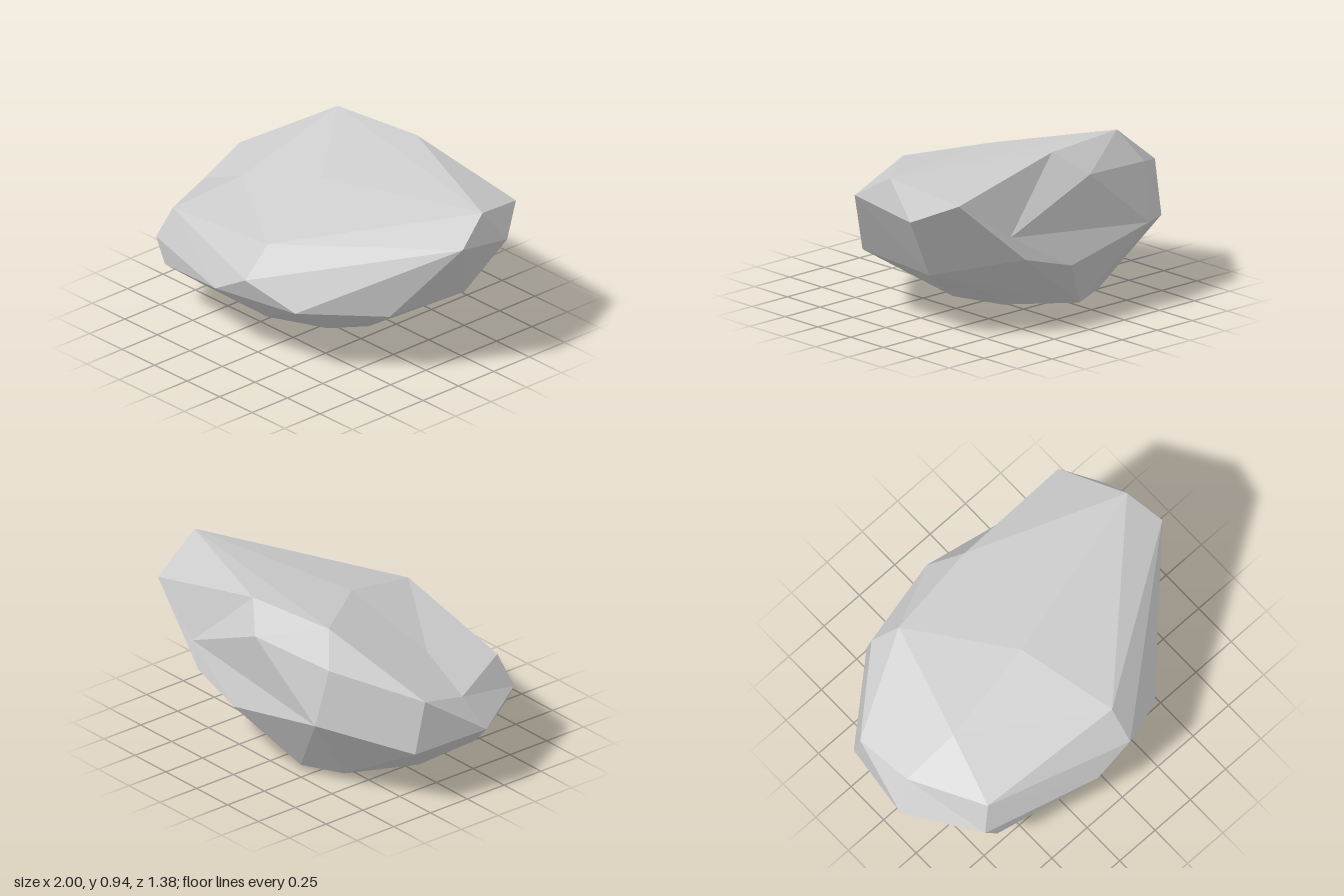
import * as THREE from 'three';
import { ConvexGeometry } from 'three/addons/geometries/ConvexGeometry.js';

const V = (p) => new THREE.Vector3(...p);

// corners of the top facets
const crown = [
  [-0.45, 0.935, -0.48], [0.08, 0.937, -0.55], [0.935, 0.905, -0.23], [-0.04, 0.84, 0.02],
  [0.12, 0.685, 0.54], [-0.69, 0.575, 0.465], [-0.945, 0.62, -0.24], [-0.56, 0.76, -0.57],
  [-0.08, 0.81, -0.67], [0.79, 0.8, -0.6],
];
// corners around the widest part
const girdle = [
  [-1, 0.365, 0.13], [-0.76, 0.4, 0.52], [-0.68, 0.27, 0.53], [-0.12, 0.39, 0.69],
  [0.11, 0.52, 0.69], [0.38, 0.39, 0.585], [0.71, 0.37, 0.22], [1, 0.78, -0.03],
  [0.945, 0.7, -0.395], [0.72, 0.345, -0.3], [0.38, 0.44, -0.67], [0.07, 0.35, -0.69],
  [-0.53, 0.45, -0.64], [-0.935, 0.33, -0.3],
];
// corners of the underside
const base = [
  [-0.68, 0.115, 0.33], [-0.05, 0.15, 0.39], [-0.64, 0.07, -0.025], [-0.32, 0.015, 0.17],
  [-0.12, 0, -0.04], [0.06, 0.015, -0.15], [-0.18, 0.015, -0.2], [0.29, 0.08, -0.02],
  [-0.2, 0.04, -0.46], [-0.43, 0.045, -0.357], [0.08, 0.025, 0.08],
];
// shallow hollows: resting point and the outward offset used while wrapping
const hollows = [
  { at: [-0.58, 0.67, 0.08], out: [0, 0.065, 0] },
  { at: [-0.89, 0.535, 0.06], out: [-0.03, 0.06, 0] },
  { at: [0.03, 0.11, -0.34], out: [0, -0.04, 0] },
  { at: [0.2, 0.115, -0.23], out: [0, -0.03, 0] },
  { at: [0.46, 0.57, -0.64], out: [0, 0.1, -0.12] },
];

export function createModel() {
  const stone = new THREE.MeshStandardMaterial({ color: 0xcccccc, flatShading: true });
  stone.name = 'greyStone';

  const raised = hollows.map((h) => V(h.at).add(V(h.out)));
  const geometry = new ConvexGeometry([...[...crown, ...girdle, ...base].map(V), ...raised]);

  // sink the raised corners back into their hollows
  const pos = geometry.attributes.position;
  const p = new THREE.Vector3();
  for (let i = 0; i < pos.count; i++) {
    p.fromBufferAttribute(pos, i);
    const k = raised.findIndex((r) => r.distanceTo(p) < 1e-4);
    if (k >= 0) pos.setXYZ(i, ...hollows[k].at);
  }
  geometry.computeVertexNormals();

  const rock = new THREE.Mesh(geometry, stone);
  rock.name = 'rock';
  const group = new THREE.Group();
  group.name = 'boulder';
  group.add(rock);
  return group;
}
